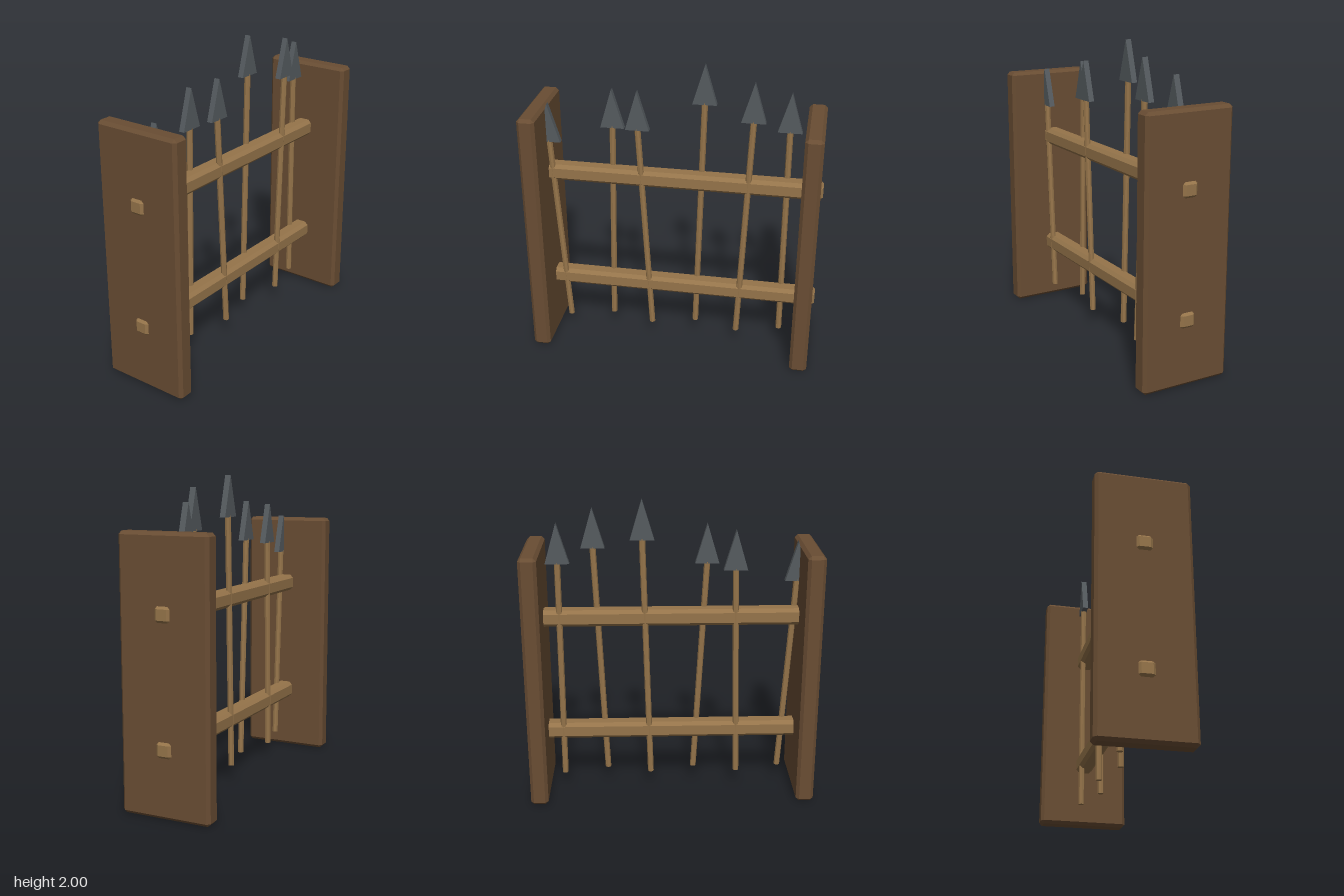
import * as THREE from 'three';
import { ConvexGeometry } from 'three/addons/geometries/ConvexGeometry.js';

// Box with every edge cut by a flat chamfer c
function chamferBox(w, h, d, c) {
  const points = [];
  for (const sx of [-1, 1]) for (const sy of [-1, 1]) for (const sz of [-1, 1]) {
    const x = w / 2, y = h / 2, z = d / 2;
    points.push(
      new THREE.Vector3(sx * x, sy * (y - c), sz * (z - c)),
      new THREE.Vector3(sx * (x - c), sy * y, sz * (z - c)),
      new THREE.Vector3(sx * (x - c), sy * (y - c), sz * z));
  }
  return new ConvexGeometry(points);
}

// Leaning pole whose ends stay level
function leaningPole(x0, y0, x1, y1, radius) {
  const h = y1 - y0;
  const geo = new THREE.CylinderGeometry(radius, radius, h, 8);
  const pos = geo.attributes.position;
  for (let i = 0; i < pos.count; i++) {
    const t = pos.getY(i) / h + 0.5;
    pos.setXYZ(i, pos.getX(i) + x0 + (x1 - x0) * t, y0 + h * t, pos.getZ(i));
  }
  geo.computeVertexNormals();
  return geo;
}

export function createModel() {
  const model = new THREE.Group();
  model.name = 'spearRack';
  const material = (name, color) => {
    const m = new THREE.MeshStandardMaterial({ color, flatShading: true });
    m.name = name;
    return m;
  };
  const darkWood = material('darkWood', 0x694d33);
  const lightWood = material('lightWood', 0x95744a);
  const iron = material('iron', 0x555b5f);

  const add = (parent, name, geo, mat, x = 0, y = 0, z = 0) => {
    const mesh = new THREE.Mesh(geo, mat);
    mesh.name = name;
    mesh.position.set(x, y, z);
    parent.add(mesh);
  };

  // Side boards
  const board = chamferBox(0.115, 1.69, 0.59, 0.02);
  add(model, 'leftBoard', board, darkWood, 0.8825, 0.845, 0);
  add(model, 'rightBoard', board, darkWood, -0.8825, 0.845, 0);

  // Cross rails, poking out through the boards
  const rail = chamferBox(1.91, 0.11, 0.112, 0.022);
  add(model, 'lowerRail', rail, lightWood, 0, 0.425, 0);
  add(model, 'upperRail', rail, lightWood, 0, 1.222, 0);

  // Flat triangular spearhead, base at y = 0
  const outline = new THREE.Shape([
    new THREE.Vector2(-0.077, 0), new THREE.Vector2(0.077, 0), new THREE.Vector2(0, 0.26)]);
  const head = new THREE.ExtrudeGeometry(outline, { depth: 0.038, bevelEnabled: false });
  head.translate(0, 0, -0.019);

  // Spears: foot x, top x, height of head base; alternating front and back
  const spears = [
    [-0.733, -0.813, 1.445], [-0.44, -0.409, 1.54], [-0.15, -0.231, 1.567],
    [0.142, 0.185, 1.74], [0.435, 0.5, 1.67], [0.725, 0.722, 1.59]];
  spears.forEach(([foot, top, y], i) => {
    const spear = new THREE.Group();
    spear.name = 'spear' + (i + 1);
    spear.position.z = i % 2 ? -0.037 : 0.037;
    add(spear, 'shaft', leaningPole(foot, 0.115, top, y + 0.01, 0.02), lightWood);
    add(spear, 'spearhead', head, iron, top, y, 0);
    model.add(spear);
  });

  return model;
}
